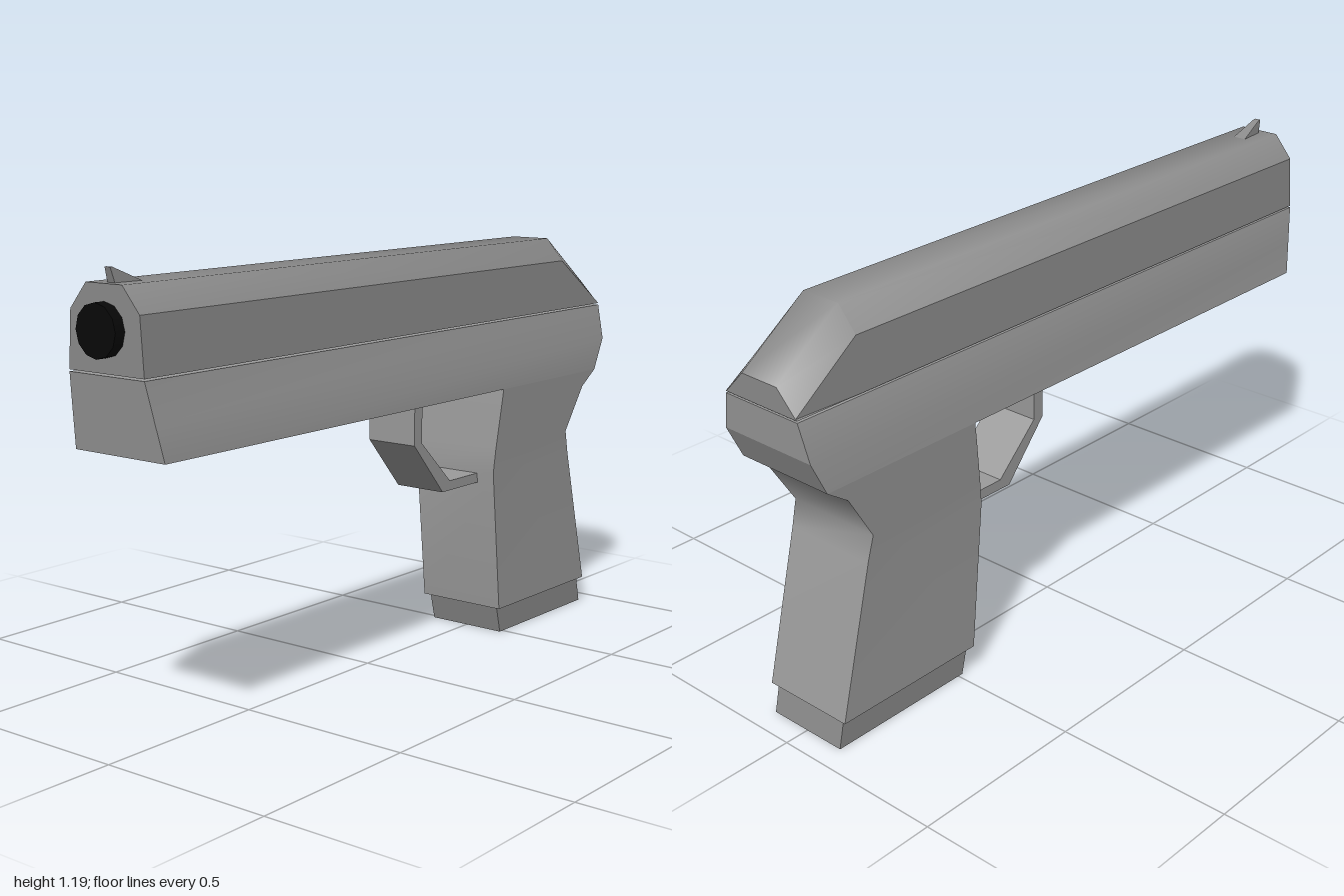
import * as THREE from 'three';
import { toCreasedNormals } from 'three/addons/utils/BufferGeometryUtils.js';

const paint = color => new THREE.MeshStandardMaterial({ color, side: THREE.DoubleSide });
const midGrey = paint(0x9b9b9b);
const darkGrey = paint(0x8b8b8b);
const black = paint(0x080808);

// Skin a list of equal-length rings of [x, y, z]; neighbouring faces blend below the crease angle
function skin(rings, { closed = true, walls = true, caps = true, crease = 0.05 } = {}) {
  const n = rings[0].length, index = [];
  if (walls) {
    for (let i = 0; i < rings.length - 1; i++) {
      for (let j = 0; j < (closed ? n : n - 1); j++) {
        const k = (j + 1) % n;
        const a = i * n + j, b = i * n + k, c = b + n, d = a + n;
        index.push(a, b, c, a, c, d);
      }
    }
  }
  if (caps) {
    const last = (rings.length - 1) * n;
    for (let j = 1; j < n - 1; j++) index.push(0, j + 1, j, last, last + j, last + j + 1);
  }
  const g = new THREE.BufferGeometry();
  g.setAttribute('position', new THREE.Float32BufferAttribute(rings.flat(2), 3));
  g.setIndex(index);
  return toCreasedNormals(g, crease);
}

// Horizontal rectangle: height, x range, half width at each end
const row = ([y, x0, x1, w0, w1 = w0]) => [[x1, y, w1], [x1, y, -w1], [x0, y, -w0], [x0, y, w0]];

export function createModel() {
  const model = new THREE.Group();
  const add = (name, geometry, material) => {
    const mesh = new THREE.Mesh(geometry, material);
    mesh.name = name;
    model.add(mesh);
    return mesh;
  };

  // Slide: stations of x, shoulder half width, shoulder height, top height
  const stations = [[-0.97, 0.115, 1.09, 1.155], [0.8, 0.115, 1.09, 1.155], [1, 0.12, 0.948, 1.01]];
  const lower = stations.map(([x, w, y]) =>
    [[x, y, w], [x, 0.945, 0.125], [x, 0.945, -0.125], [x, y, -w]]);
  const upper = stations.map(([x, w, y, top]) =>
    [[x, y, -w], [x, top, -0.06], [x, top, 0.06], [x, y, w]]);
  add('slideSides', skin(lower, { closed: false, caps: false }), darkGrey);
  add('slideTop', skin(upper, { closed: false, caps: false, crease: 1.1 }), darkGrey);
  const ends = [0, 2].map(i => [...lower[i], upper[i][1], upper[i][2]]);
  add('slideEnds', skin(ends, { walls: false }), darkGrey);

  // Frame, flaring downwards
  add('frame', skin([
    [0.745, -0.935, 0.945, 0.15],
    [0.838, -0.952, 0.99, 0.138, 0.15],
    [0.94, -0.97, 1, 0.125],
  ].map(row), { crease: 0.3 }), midGrey);

  // Grip with a curved back below the frame
  add('grip', skin([
    [0.08, 0.455, 0.923, 0.138],
    [0.5, 0.415, 0.818, 0.138],
    [0.57, 0.422, 0.8, 0.141],
    [0.7, 0.439, 0.88, 0.148],
    [0.745, 0.445, 0.945, 0.15],
  ].map(row), { crease: 0.9 }), midGrey);

  // Slanted base under the grip
  add('gripBase', skin([[0, 0.485, 0.93, 0.122], [0.082, 0.465, 0.912, 0.122]].map(row)), darkGrey);

  // Trigger guard
  const guard = new THREE.Shape([
    [0.11, 0.75], [0.11, 0.62], [0.245, 0.465], [0.42, 0.465],
    [0.42, 0.493], [0.28, 0.493], [0.145, 0.622], [0.145, 0.75],
  ].map(([x, y]) => new THREE.Vector2(x, y)));
  const guardGeometry = new THREE.ExtrudeGeometry(guard, { depth: 0.16, bevelEnabled: false });
  add('triggerGuard', guardGeometry.translate(0, 0, -0.08), midGrey);

  // Front sight
  const sight = [[1.15, -0.945, -0.855, 0.013, 0.021], [1.192, -0.957, -0.95, 0.009]];
  add('frontSight', skin(sight.map(row)), darkGrey);

  // Muzzle
  const muzzle = add('muzzle', new THREE.CylinderGeometry(0.066, 0.066, 0.06, 12), black);
  muzzle.rotation.z = Math.PI / 2;
  muzzle.position.set(-0.97, 1.048, 0);

  return model;
}
